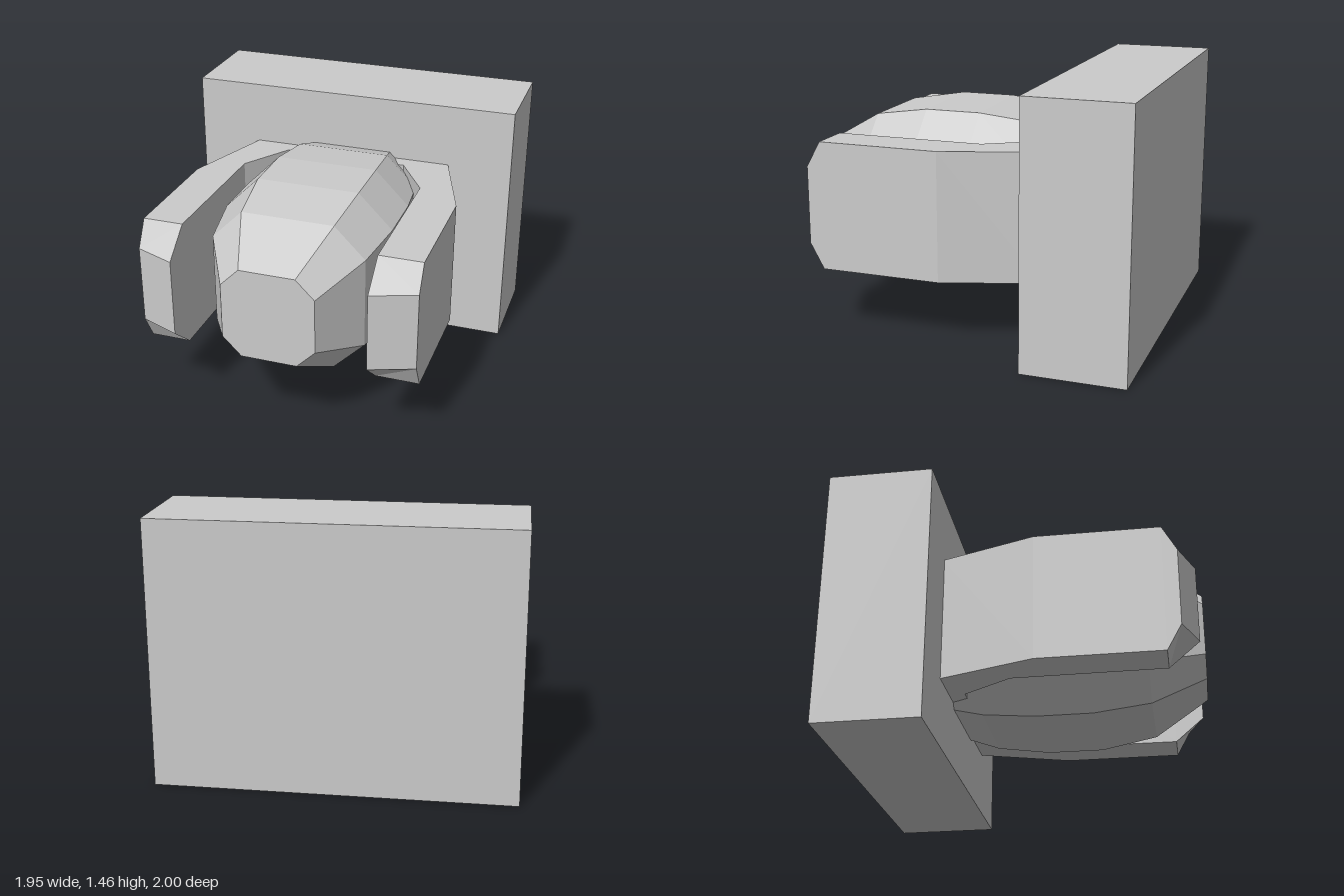
import * as THREE from 'three';

const material = new THREE.MeshStandardMaterial({ color: 0xcccccc, flatShading: true });
const MID_Y = 0.735;

function addPart(group, name, geometry) {
  const mesh = new THREE.Mesh(geometry, material);
  mesh.name = name;
  group.add(mesh);
  return mesh;
}

function indexedGeometry(positions, index) {
  const indexed = new THREE.BufferGeometry();
  indexed.setAttribute('position', new THREE.Float32BufferAttribute(positions, 3));
  indexed.setIndex(index);
  const geometry = indexed.toNonIndexed();
  geometry.computeVertexNormals();
  return geometry;
}

// Octagonal barrel lofted through [z, radius] stations, back to front
function barrelGeometry(stations) {
  const positions = [], index = [];
  for (const [z, r] of stations) {
    const f = r * 0.6; // half length of the flat sides
    const ring = [[r, -f], [r, f], [f, r], [-f, r], [-r, f], [-r, -f], [-f, -r], [f, -r]];
    for (const [x, y] of ring) positions.push(x, MID_Y + y, z);
  }
  for (let s = 0; s < stations.length - 1; s++) {
    for (let i = 0; i < 8; i++) {
      const a = s * 8 + i, b = s * 8 + (i + 1) % 8;
      index.push(a, b, b + 8, a, b + 8, a + 8);
    }
  }
  const front = (stations.length - 1) * 8;
  for (let i = 1; i < 7; i++) {
    index.push(front, front + i, front + i + 1);
    index.push(0, i + 1, i);
  }
  return indexedGeometry(positions, index);
}

// Bevelled wedge closing the front of one arm
function tipGeometry(outer, inner) {
  const positions = [];
  for (const [h, zOuter, zInner] of [[0.365, 0.8, 0.8], [0.22, 0.88, 0.97]]) {
    positions.push(
      outer, MID_Y + h, zOuter, inner, MID_Y + h, zInner,
      inner, MID_Y - h, zInner, outer, MID_Y - h, zOuter);
  }
  const index = [
    0, 1, 4, 1, 5, 4, // top bevel
    4, 5, 6, 4, 6, 7, // front
    2, 3, 7, 2, 7, 6, // bottom bevel
    0, 4, 7, 0, 7, 3, // outer side
    1, 2, 6, 1, 6, 5, // inner side
  ];
  if (outer < 0) index.reverse();
  return indexedGeometry(positions, index);
}

export function createModel() {
  const model = new THREE.Group();
  model.name = 'wallFixture';

  // Back plate
  addPart(model, 'backPlate', new THREE.BoxGeometry(1.945, 1.464, 0.58))
    .position.set(0, 0.732, -0.71);

  // Central barrel
  addPart(model, 'barrel', barrelGeometry([
    [-0.43, 0.395], [-0.25, 0.45], [0.05, 0.485], [0.37, 0.485], [0.69, 0.433], [1, 0.26],
  ]));

  // U-shaped bracket with two arms, outlined as [x, z]
  const outline = [
    [-0.60, -0.43], [0.595, -0.43], [0.773, 0.11], [0.773, 0.8], [0.53, 0.8], [0.525, -0.05],
    [0.35, -0.33], [-0.375, -0.33], [-0.55, -0.05], [-0.556, 0.8], [-0.782, 0.8], [-0.782, 0.11],
  ];
  const shape = new THREE.Shape(outline.map(([x, z]) => new THREE.Vector2(x, -z)));
  const bracket = new THREE.ExtrudeGeometry(shape, { depth: 0.73, bevelEnabled: false });
  bracket.rotateX(-Math.PI / 2);
  addPart(model, 'armBracket', bracket).position.y = 0.37;

  // Arm tips
  addPart(model, 'leftArmTip', tipGeometry(0.773, 0.53));
  addPart(model, 'rightArmTip', tipGeometry(-0.782, -0.556));

  return model;
}
